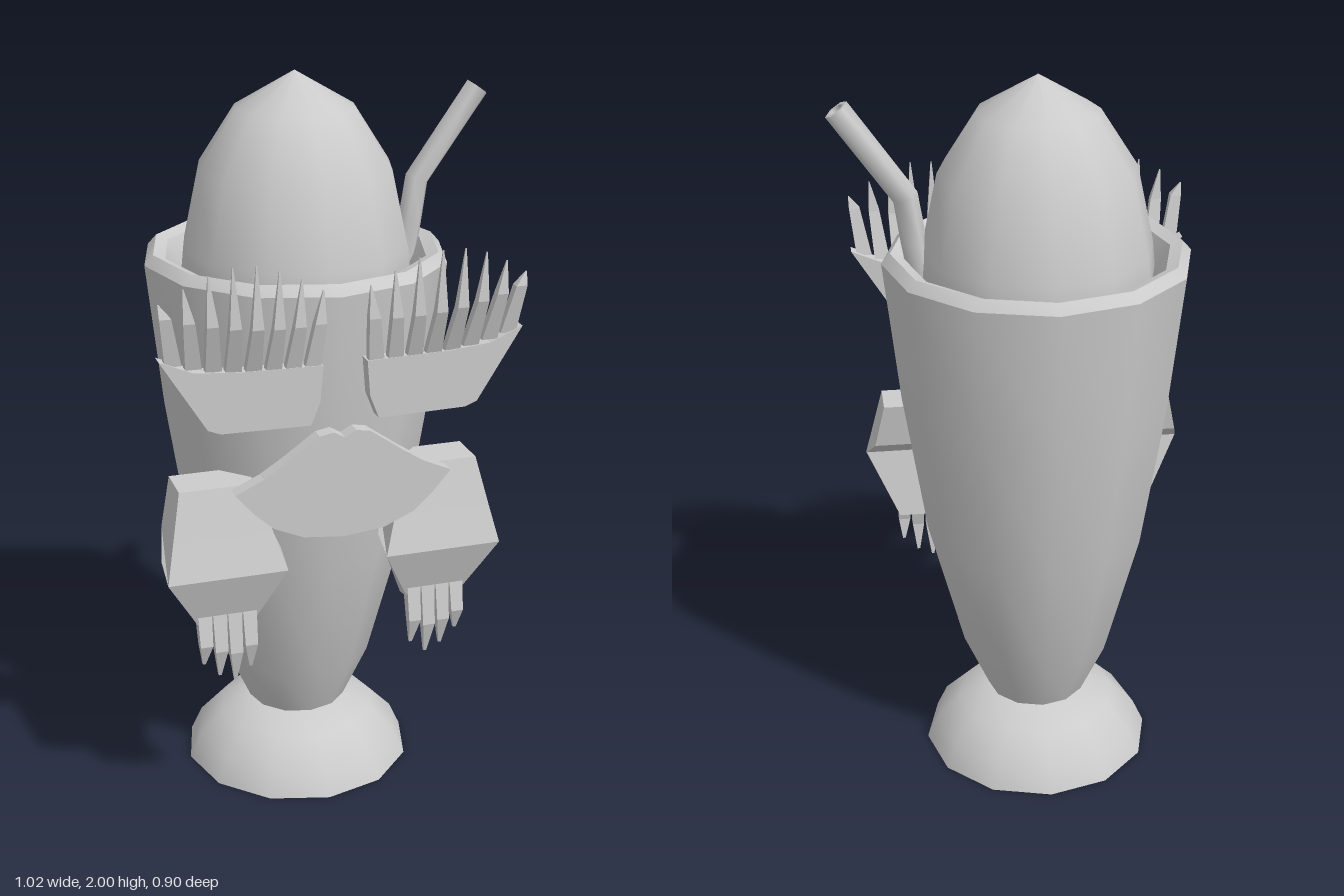
import * as THREE from 'three';
import { toCreasedNormals } from 'three/addons/utils/BufferGeometryUtils.js';

const material = new THREE.MeshStandardMaterial({ color: 0xcccccc, side: THREE.DoubleSide });

function addMesh(parent, name, geometry) {
  const mesh = new THREE.Mesh(geometry, material);
  mesh.name = name;
  parent.add(mesh);
  return mesh;
}

// Twelve-sided turned part from [radius, y] pairs
function turned(profile, crease = 0.75) {
  const points = profile.map(([r, y]) => new THREE.Vector2(r, y));
  return toCreasedNormals(new THREE.LatheGeometry(points, 12), crease);
}

// Joins rings of equal length, anticlockwise seen from the first ring's outer side
function loft(rings, capped = true) {
  const n = rings[0].length;
  const out = [];
  const tri = (...corners) => corners.forEach((c) => out.push(...c));
  for (let i = 0; i < rings.length - 1; i++) {
    const a = rings[i], b = rings[i + 1];
    for (let j = 0; j < n; j++) {
      const k = (j + 1) % n;
      tri(a[j], b[j], b[k]);
      tri(a[j], b[k], a[k]);
    }
  }
  if (capped) {
    const a = rings[0], b = rings[rings.length - 1];
    for (let j = 1; j < n - 1; j++) {
      tri(a[0], a[j], a[j + 1]);
      tri(b[0], b[j + 1], b[j]);
    }
  }
  const geometry = new THREE.BufferGeometry();
  geometry.setAttribute('position', new THREE.Float32BufferAttribute(out, 3));
  geometry.computeVertexNormals();
  return geometry;
}

// Four-cornered ring between two x values, with its own front and back [y, z]
function boxRing(xa, xb, front, back) {
  const x0 = Math.min(xa, xb), x1 = Math.max(xa, xb);
  return [[x0, ...front], [x1, ...front], [x1, ...back], [x0, ...back]];
}

// Level ring around a centre, for lashes and fingers
function spikeRing(x, y, z, width, depth) {
  return boxRing(x - width / 2, x + width / 2, [y, z + depth / 2], [y, z - depth / 2]);
}

function plate(points) {
  const shape = new THREE.Shape(points.map(([x, y]) => new THREE.Vector2(x, y)));
  const geometry = new THREE.ExtrudeGeometry(shape, { depth: 0.04, bevelEnabled: false });
  return geometry.translate(0, 0, 0.357);
}

// Hollow bent six-sided tube
function strawGeometry() {
  const path = [[0.295, 1.4, 0.16], [0.325, 1.57, 0.16], [0.343, 1.69, 0.4], [0.51, 1.927, 0.62]];
  const ring = ([x, y, lean], radius) => Array.from({ length: 6 }, (_, j) => {
    const a = (j / 6) * Math.PI * 2;
    const u = Math.cos(a) * radius, v = Math.sin(a) * radius;
    return [x + u * Math.cos(lean), y - u * Math.sin(lean), v];
  });
  const outer = path.map((p) => ring(p, 0.034));
  const inner = path.map((p) => ring(p, 0.022)).reverse();
  const rings = [...outer, ...inner];
  return toCreasedNormals(loft(rings, false), 1.1);
}

function addEye(parent, s) {
  const eye = new THREE.Group();
  eye.name = s > 0 ? 'leftEye' : 'rightEye';
  parent.add(eye);
  const outline = [[0.477, 1.397], [0.39, 1.36], [0.28, 1.35], [0.058, 1.345],
    [0.066, 1.25], [0.09, 1.188], [0.325, 1.192], [0.358, 1.205]];
  addMesh(eye, 'eyelid', plate(outline.map(([x, y]) => [s * x, y])));
  // Row of curved lashes, tallest in the middle and fanned outwards
  for (let i = 0; i < 8; i++) {
    const t = i / 7;
    const x = 0.085 + t * 0.355;
    const bow = Math.sin(Math.PI * t);
    const tip = 1.545 + 0.085 * bow;
    const fan = (t - 0.4) * 0.06;
    const base = 1.33 + 0.05 * t * t;
    addMesh(eye, 'eyelash', loft([
      spikeRing(s * (x + fan), tip, 0.405 + 0.03 * bow, 0.003, 0.003),
      spikeRing(s * (x + fan * 0.6), base + 0.13, 0.405 + 0.027 * bow, 0.03, 0.024),
      spikeRing(s * x, base, 0.38, 0.042, 0.022),
    ]));
  }
}

function addHand(parent, s) {
  const hand = new THREE.Group();
  hand.name = s > 0 ? 'leftHand' : 'rightHand';
  parent.add(hand);
  // Bent mitten-shaped palm, from wrist to knuckles
  addMesh(hand, 'palm', loft([
    boxRing(s * 0.41, s * 0.205, [0.995, 0.28], [0.995, 0.165]),
    boxRing(s * 0.438, s * 0.168, [0.865, 0.317], [0.865, 0.185]),
    boxRing(s * 0.46, s * 0.137, [0.765, 0.347], [0.8, 0.275]),
    boxRing(s * 0.37, s * 0.215, [0.61, 0.295], [0.6, 0.242]),
  ]));
  const tips = [0.47, 0.435, 0.455, 0.495];
  tips.forEach((tip, i) => {
    const x = 0.232 + i * 0.041;
    addMesh(hand, 'finger', loft([
      spikeRing(s * x, 0.64, 0.287, 0.038, 0.036),
      spikeRing(s * x, (0.64 + tip) / 2 - 0.01, 0.307, 0.034, 0.028),
      spikeRing(s * (x - 0.003 + i * 0.002), tip, 0.293, 0.008, 0.008),
    ]));
  });
}

export function createModel() {
  const model = new THREE.Group();
  model.name = 'milkshake';
  model.position.x = -0.03;

  // Turned parts and straw share an axis set slightly back
  const cup = new THREE.Group();
  cup.name = 'cup';
  cup.position.z = -0.04;
  model.add(cup);
  addMesh(cup, 'foot', turned([[0, 0.14], [0.13, 0.125], [0.21, 0.08], [0.27, 0],
    [0.325, 0], [0.293, 0.07], [0.225, 0.14], [0.14, 0.18], [0, 0.18]]));
  addMesh(cup, 'glass', turned([[0, 0.175], [0.14, 0.178], [0.21, 0.335], [0.307, 0.71],
    [0.37, 1.12], [0.412, 1.51], [0.388, 1.537], [0.355, 1.525], [0.322, 1.46], [0.31, 1.38], [0, 1.38]]));
  addMesh(cup, 'creamDome', turned([[0.3, 1.38], [0.315, 1.47], [0.308, 1.54], [0.262, 1.75],
    [0.162, 1.905], [0, 2]], 0.85));
  addMesh(cup, 'straw', strawGeometry());

  // Lips, mirrored from one half outline
  const half = [[0.03, 1.162], [0.068, 1.155], [0.16, 1.09], [0.215, 1.055], [0.291, 1.02],
    [0.24, 0.96], [0.19, 0.915], [0.11, 0.88]];
  const mirrored = half.map(([x, y]) => [-x, y]).reverse();
  addMesh(model, 'lips', plate([[0, 1.145], ...half, [0, 0.868], ...mirrored]));

  for (const s of [1, -1]) {
    addEye(model, s);
    addHand(model, s);
  }
  return model;
}
